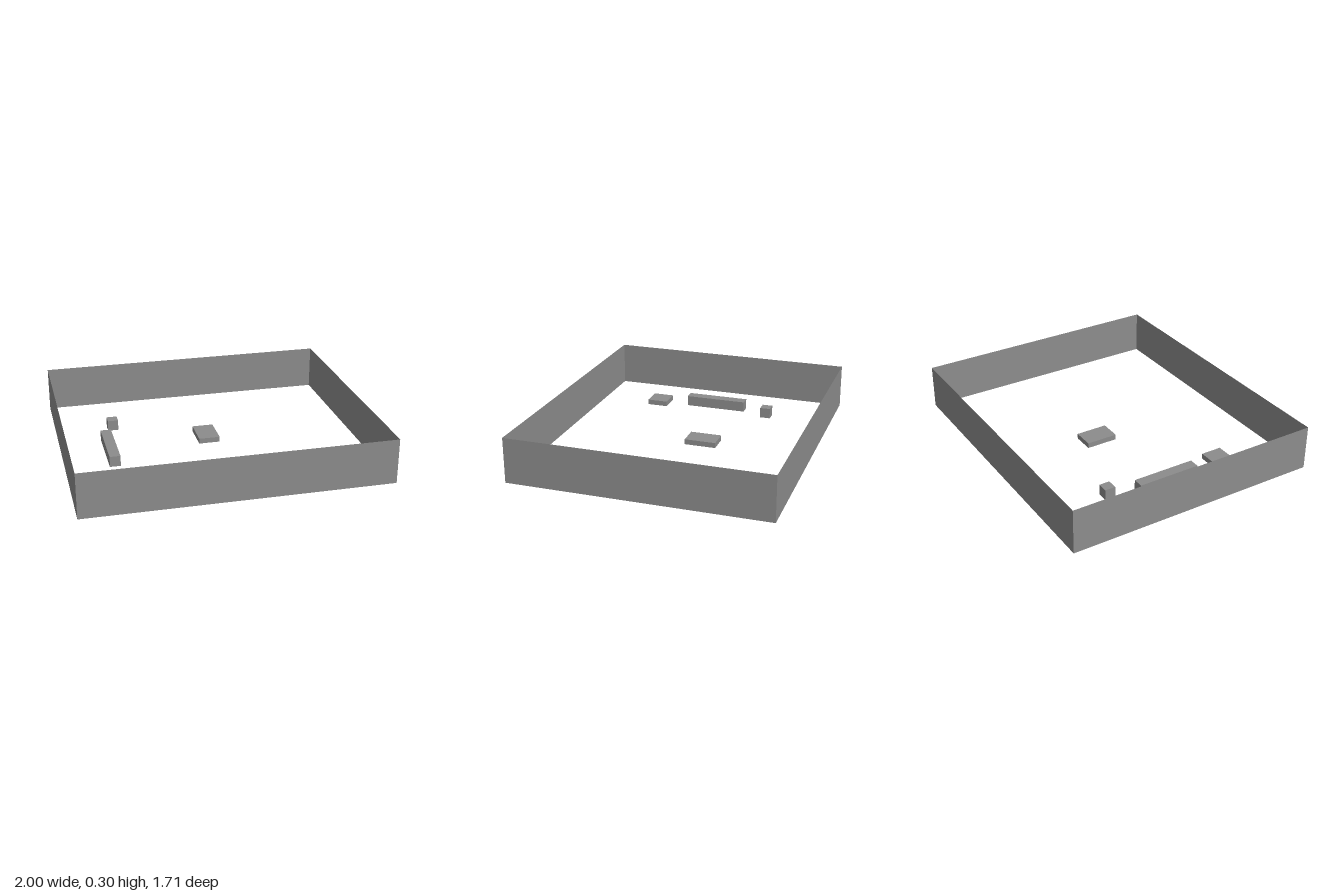
import * as THREE from 'three';

const U = 1 / 14; // layout grid unit

// Thin box shell standing on the ground, without its underside and optionally without its top
function shell(name, material, [x0, x1], [z0, z1], height, openTop = false) {
  const geometry = new THREE.BoxGeometry((x1 - x0) * U, height, (z1 - z0) * U);
  // Box faces are indexed in sixes: +x, -x, +y, -y, +z, -z
  const index = Array.from(geometry.index.array);
  index.splice(openTop ? 12 : 18, openTop ? 12 : 6);
  geometry.setIndex(index);
  geometry.clearGroups();
  geometry.translate((x0 + x1) / 2 * U, height / 2, (z0 + z1) / 2 * U);
  const mesh = new THREE.Mesh(geometry, material);
  mesh.name = name;
  return mesh;
}

export function createModel() {
  const group = new THREE.Group();
  group.name = 'walledRoom';
  const grey = new THREE.MeshStandardMaterial({ color: 0x8c8c8c, side: THREE.DoubleSide });
  grey.name = 'plain grey';

  group.add(
    // Perimeter walls, open above and below
    shell('perimeterWalls', grey, [-14, 14], [-12, 12], 0.3, true),
    // Blocks on the floor
    shell('centreSlab', grey, [-1, 1], [-3, 0], U / 2),
    shell('longBlock', grey, [-10, -9], [-3, 3], U),
    shell('smallCube', grey, [-9, -8], [-6, -5], U),
    shell('squareSlab', grey, [-10, -8], [5, 7], U / 2),
  );
  return group;
}
